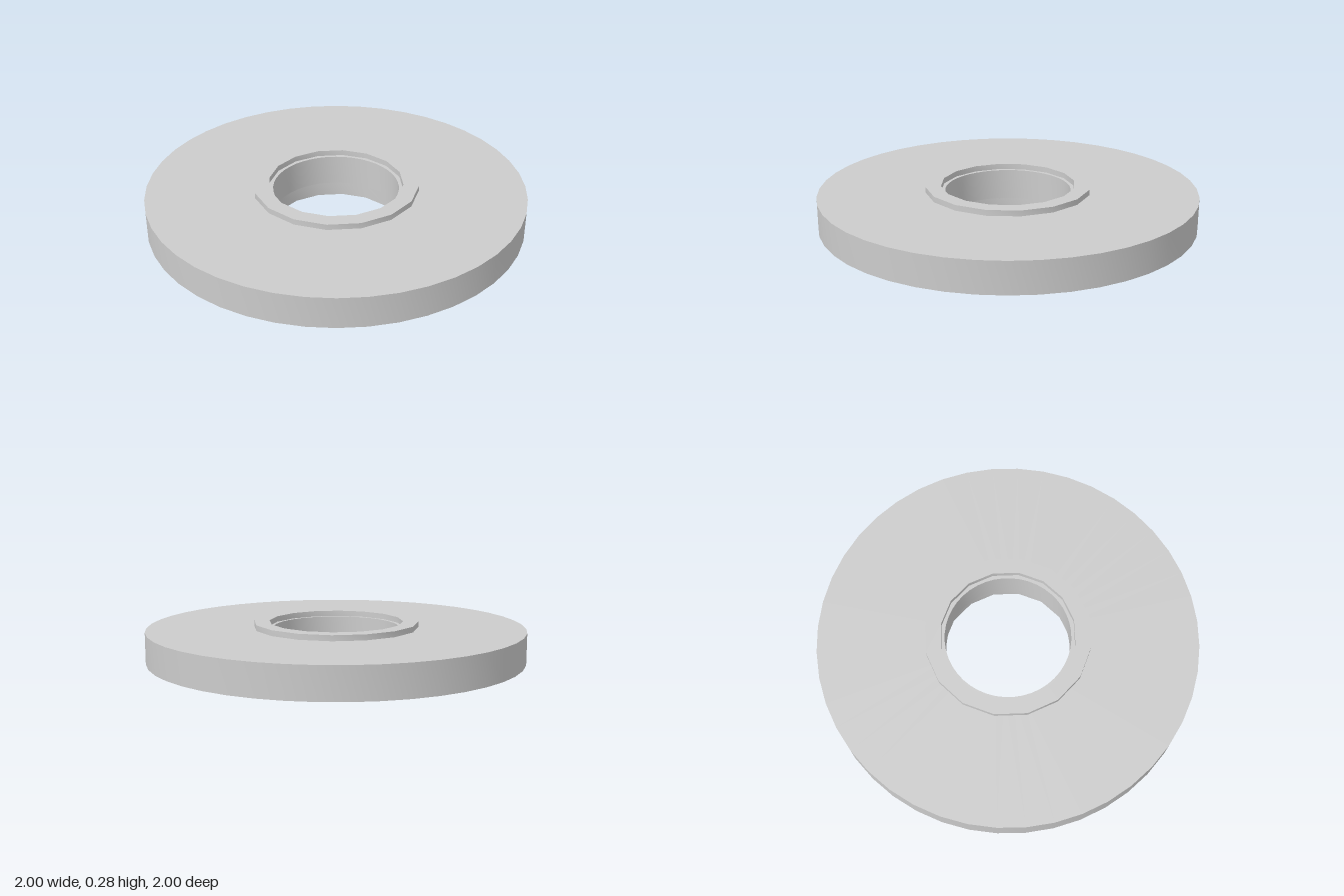
import * as THREE from 'three';
import { toCreasedNormals } from 'three/addons/utils/BufferGeometryUtils.js';

const material = new THREE.MeshStandardMaterial({ color: 0xcccccc });

// Closed ring of rectangular section, smooth round the walls, sharp at the rims
function ring(name, inner, outer, bottom, top, sides) {
  const profile = [
    [outer, bottom], [outer, top], [inner, top], [inner, bottom], [outer, bottom],
  ].map(([r, y]) => new THREE.Vector2(r, y));
  const geometry = toCreasedNormals(new THREE.LatheGeometry(profile, sides), 0.6);
  const mesh = new THREE.Mesh(geometry, material);
  mesh.name = name;
  return mesh;
}

// Six hexagonal bolt heads on a circle under the disc
function boltCircle(name, radius) {
  const group = new THREE.Group();
  group.name = name;
  const hexagon = new THREE.CylinderGeometry(0.07, 0.07, 0.025, 6).toNonIndexed();
  hexagon.rotateY(Math.PI / 6);
  hexagon.computeVertexNormals();
  for (let i = 0; i < 6; i++) {
    const angle = (i * Math.PI) / 3;
    const bolt = new THREE.Mesh(hexagon, material);
    bolt.name = 'boltHead';
    bolt.position.set(radius * Math.cos(angle), 0.0875, radius * Math.sin(angle));
    group.add(bolt);
  }
  return group;
}

export function createModel() {
  const model = new THREE.Group();
  model.name = 'flangedDisc';
  model.add(
    ring('disc', 0.332, 1, 0.085, 0.25, 44),
    ring('upperCollar', 0.355, 0.437, 0.25, 0.28, 16),
    ring('lowerCollar', 0.352, 0.453, 0, 0.085, 16),
    boltCircle('outerBolts', 0.8),
    boltCircle('innerBolts', 0.42),
  );
  return model;
}
